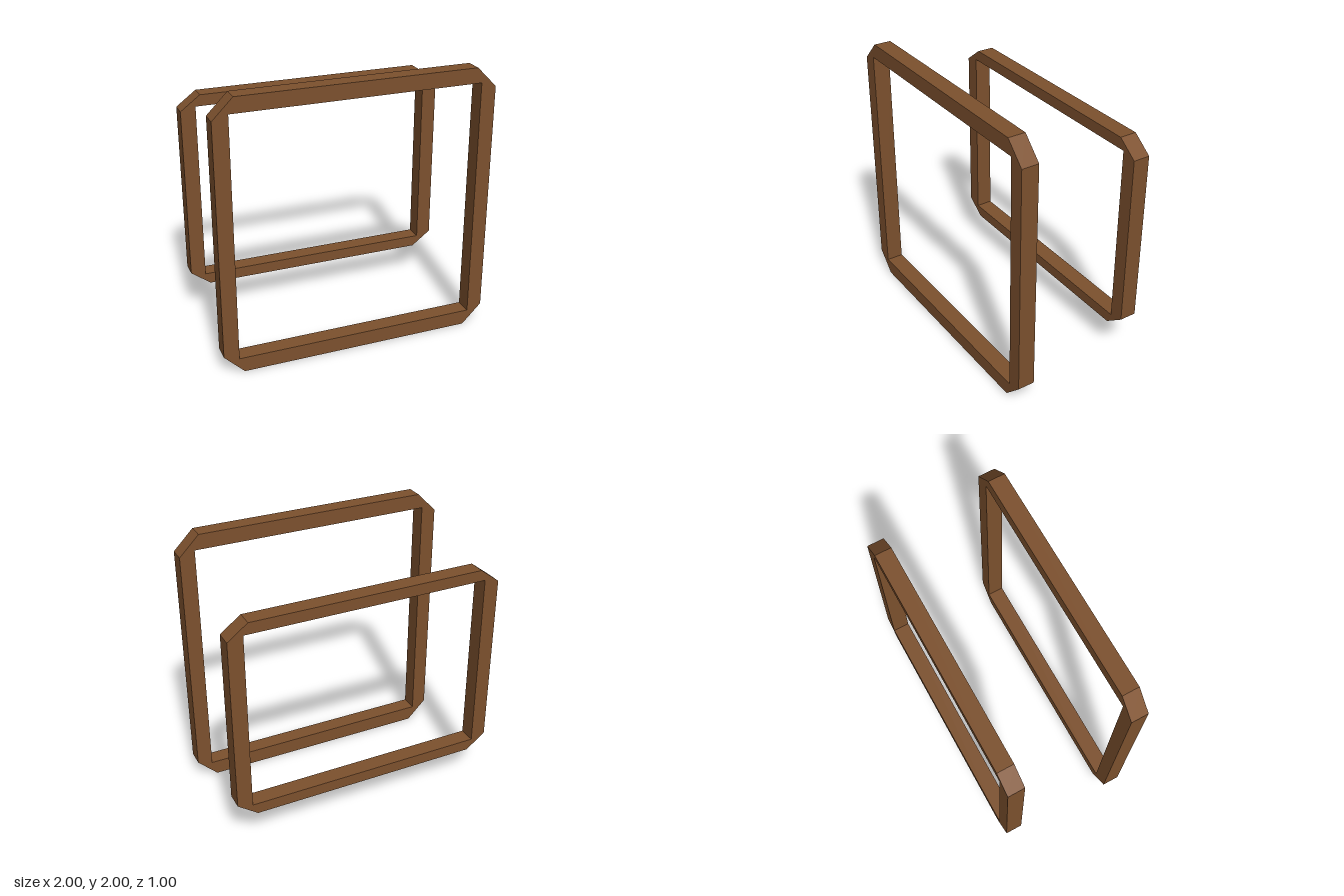
import * as THREE from 'three';

const wood = new THREE.MeshStandardMaterial({ color: 0x7d512e });
wood.name = 'brown wood';

// Upright rectangular frame with chamfered outer corners, centred on the origin
function makeFrame(name, depth) {
  const half = 1, cut = 0.855, inner = 0.89;
  const shape = new THREE.Shape([
    [cut, -half], [half, -cut], [half, cut], [cut, half],
    [-cut, half], [-half, cut], [-half, -cut], [-cut, -half],
  ].map(([x, y]) => new THREE.Vector2(x, y)));
  shape.holes.push(new THREE.Path([
    [-inner, -inner], [-inner, inner], [inner, inner], [inner, -inner],
  ].map(([x, y]) => new THREE.Vector2(x, y))));
  const geometry = new THREE.ExtrudeGeometry(shape, { depth, bevelEnabled: false });
  geometry.translate(0, 0, -depth / 2);
  const mesh = new THREE.Mesh(geometry, wood);
  mesh.name = name;
  return mesh;
}

export function createModel() {
  const group = new THREE.Group();
  group.name = 'pairOfFrames';
  const depth = 0.125;

  // Tall front frame
  const front = makeFrame('frontFrame', depth);
  front.position.set(0, 1, 0.5 - depth / 2);

  // Lower back frame, three quarters of the height
  const back = makeFrame('backFrame', depth);
  back.geometry.scale(1, 0.75, 1);
  back.position.set(0, 1, -0.5 + depth / 2);

  group.add(front, back);
  return group;
}
